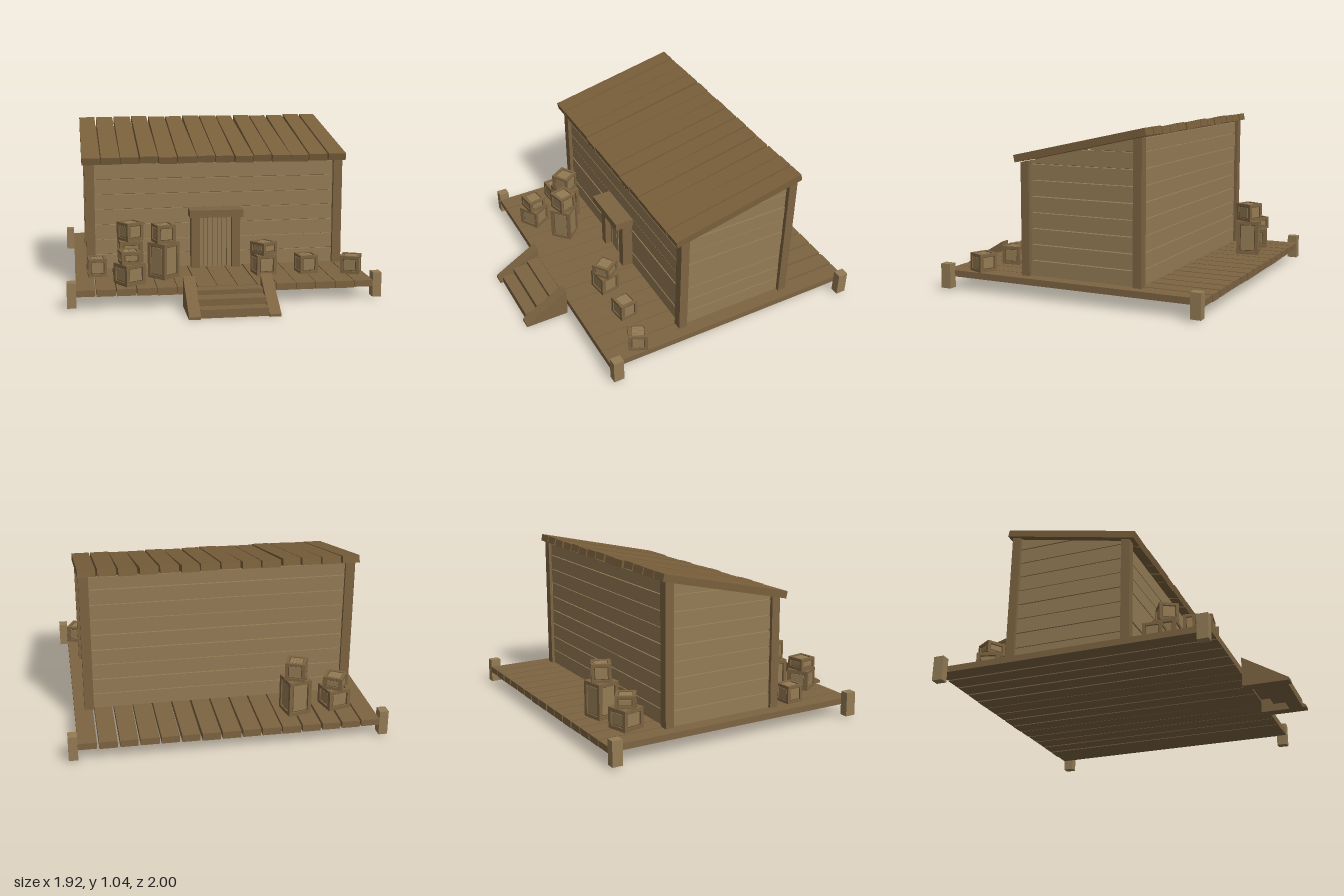
import * as THREE from 'three';

const mat = (color) => new THREE.MeshStandardMaterial({ color, flatShading: true });
const wallMat = mat(0x947c55), trimMat = mat(0x7d6442), roofMat = mat(0x7a603c), darkMat = mat(0x5c482c);

// small seeded generator, -1..1
let seed = 7;
const rnd = () => {
  seed = (seed * 16807) % 2147483647;
  return (seed / 2147483647) * 2 - 1;
};

function add(parent, name, geometry, material) {
  const mesh = new THREE.Mesh(geometry, material);
  mesh.name = name;
  parent.add(mesh);
  return mesh;
}

// box given by its extents
function box(parent, name, material, x0, x1, y0, y1, z0, z1) {
  const g = new THREE.BoxGeometry(x1 - x0, y1 - y0, z1 - z0);
  g.translate((x0 + x1) / 2, (y0 + y1) / 2, (z0 + z1) / 2);
  return add(parent, name, g, material);
}

// (z, y) outline extruded from x0 to x1
function prism(parent, name, material, pts, x0, x1) {
  const shape = new THREE.Shape(pts.map(([z, y]) => new THREE.Vector2(z, y)));
  const g = new THREE.ExtrudeGeometry(shape, { depth: x1 - x0, bevelEnabled: false });
  g.rotateY(-Math.PI / 2).translate(x1, 0, 0);
  return add(parent, name, g, material);
}

// board along z whose width differs between its front and back ends
function taperedBoard(wFront, wBack, thickness, length) {
  const g = new THREE.BoxGeometry(1, thickness, length);
  const p = g.attributes.position;
  for (let i = 0; i < p.count; i++) p.setX(i, p.getX(i) * (p.getZ(i) > 0 ? wFront : wBack));
  return g;
}

// crate: recessed panels inside a frame of bars, slats on the lid
function crate(parent, x, y, z, w, h, angle) {
  const c = new THREE.Group();
  c.name = 'crate';
  c.position.set(x, y, z);
  c.rotation.y = angle;
  parent.add(c);
  const r = w / 2, b = w * 0.15, e = w * 0.07;
  box(c, 'crateCore', darkMat, -r + e, r - e, e, h - e, -r + e, r - e);
  for (const s of [-1, 1]) {
    for (const t of [-1, 1]) {
      const cx = s * (r - b / 2), cz = t * (r - b / 2);
      box(c, 'cratePost', trimMat, cx - b / 2, cx + b / 2, 0, h, cz - b / 2, cz + b / 2);
    }
    for (const y0 of [0, h - b]) {
      const d = s * (r - b / 2);
      box(c, 'crateRail', trimMat, -r + b, r - b, y0, y0 + b, d - b / 2, d + b / 2);
      box(c, 'crateRail', trimMat, d - b / 2, d + b / 2, y0, y0 + b, -r + b, r - b);
    }
    // side panels, slightly inset from the frame
    const q = r - b * 1.3, d0 = s * (r - e * 0.8);
    box(c, 'cratePanel', wallMat, -q, q, b * 1.3, h - b * 1.3, d0 - 0.003, d0 + 0.003);
    box(c, 'cratePanel', wallMat, d0 - 0.003, d0 + 0.003, b * 1.3, h - b * 1.3, -q, q);
  }
  const q = r - b * 1.2, sw = (2 * q) / 4;
  for (let i = 0; i < 4; i++) {
    box(c, 'lidSlat', wallMat, -q + i * sw + 0.001, -q + (i + 1) * sw - 0.001, h - e * 1.2, h - e * 0.5, -q, q);
  }
}

export function createModel() {
  seed = 7;
  const root = new THREE.Group();
  root.name = 'cabin';
  const group = (name) => {
    const g = new THREE.Group();
    g.name = name;
    root.add(g);
    return g;
  };

  // deck planks and corner posts
  const deck = group('deck');
  const nDeck = 15, dw = 1.82 / nDeck;
  for (let i = 0; i < nDeck; i++) {
    const th = 0.043 + 0.004 * rnd();
    const g = taperedBoard(dw - 0.004 - 0.003 * rnd(), dw - 0.011 - 0.004 * rnd(), th, 1.715);
    add(deck, 'deckPlank', g, trimMat).position.set(-0.91 + (i + 0.5) * dw, 0.121 - th / 2, -0.1425);
  }
  for (const s of [-1, 1]) {
    for (const [z0, z1] of [[-1, -0.935], [0.65, 0.717]]) {
      const x = s * 0.9325;
      box(deck, 'deckPost', wallMat, x - 0.0275, x + 0.0275, 0.015, 0.168, z0, z1);
    }
  }

  // front steps
  const steps = group('steps');
  for (const x of [-0.27, 0.2]) {
    prism(steps, 'stringer', trimMat, [[0.715, 0], [1, 0], [1, 0.016], [0.715, 0.187]], x, x + 0.07);
  }
  [[0, 0.05, 0.895, 0.98], [0.046, 0.09, 0.795, 0.9], [0.086, 0.118, 0.715, 0.8]].forEach(([y0, y1, z0, z1]) =>
    box(steps, 'tread', trimMat, -0.2, 0.2, y0, y1, z0, z1));

  // walls of horizontal boards under the sloping roof
  const walls = group('walls');
  const zF = 0.18, zB = -0.57, slope = 0.221;
  const top = (z) => 0.815 + slope * (zF - z);
  const cross = (y) => zF - (y - 0.815) / slope;
  const pitch = 0.0975;
  for (let i = 0; i < 9; i++) {
    const y0 = 0.12 + i * pitch, y1 = y0 + pitch - 0.005;
    if (y0 < 0.79) box(walls, 'frontBoard', wallMat, -0.8, 0.8, y0, Math.min(y1, 0.815), 0.16, zF + 0.003 * rnd());
    box(walls, 'backBoard', wallMat, -0.8, 0.8, y0, Math.min(y1, 0.975), zB + 0.003 * rnd(), -0.55);
    // gable boards are clipped by the roof line
    const pts = [[zB, y0]];
    if (y0 < top(zF)) pts.push([zF, y0], [zF, Math.min(y1, top(zF))]);
    else pts.push([cross(y0), y0]);
    if (y1 > top(zF) && y1 < top(zB)) pts.push([cross(y1), y1]);
    pts.push([zB, Math.min(y1, top(zB))]);
    prism(walls, 'rightBoard', wallMat, pts, -0.81 + 0.003 * rnd(), -0.785);
    prism(walls, 'leftBoard', wallMat, pts, 0.785, 0.815 + 0.003 * rnd());
  }
  // dark lining behind the joints
  prism(walls, 'lining', darkMat, [[-0.548, 0.12], [0.158, 0.12], [0.158, 0.81], [-0.548, 0.965]], -0.782, 0.782);
  for (const s of [-1, 1]) {
    for (const [z0, z1] of [[0.15, 0.205], [-0.59, -0.535]]) {
      const x0 = s < 0 ? -0.832 : 0.785;
      prism(walls, 'cornerPost', trimMat, [[z0, 0.12], [z1, 0.12], [z1, top(z1)], [z0, top(z0)]], x0, x0 + 0.058);
    }
  }

  // roof planks
  const roof = group('roof');
  roof.position.set(0, 0.921, -0.185);
  roof.rotation.x = Math.atan(slope);
  const nRoof = 14, rw = 1.715 / nRoof;
  for (let i = 0; i < nRoof; i++) {
    const len = 0.873 + 0.006 * rnd();
    const g = taperedBoard(rw - 0.005 - 0.004 * rnd(), rw - 0.012 - 0.006 * rnd(), 0.045, len);
    const plank = add(roof, 'roofPlank', g, roofMat);
    plank.position.set(-0.8575 + (i + 0.5) * rw, 0.003 * rnd(), 0);
    plank.rotation.y = 0.006 * rnd();
  }

  // door with slats, jambs and lintel
  const door = group('door');
  box(door, 'doorBacking', darkMat, -0.11, 0.11, 0.12, 0.465, 0.17, 0.195);
  for (let i = 0; i < 7; i++) {
    const x = -0.108 + i * 0.0309;
    box(door, 'doorSlat', wallMat, x, x + 0.027, 0.122, 0.465, 0.18, 0.21 + 0.003 * rnd());
  }
  for (const x of [-0.16, 0.104]) box(door, 'doorJamb', trimMat, x, x + 0.054, 0.12, 0.465, 0.17, 0.25);
  box(door, 'lintel', trimMat, -0.175, 0.17, 0.46, 0.508, 0.17, 0.303);

  // crates: x, z, then width, height and angle for each one stacked
  const crates = group('crates');
  [
    [-0.77, 0.34, [0.115, 0.112, 0.06]],
    [-0.56, 0.345, [0.145, 0.222, 0.05], [0.12, 0.114, 0.55]],
    [-0.36, 0.445, [0.14, 0.222, 0.75], [0.12, 0.114, 0.25]],
    [-0.58, 0.58, [0.14, 0.128, 0.55], [0.12, 0.078, 0.15]],
    [0.275, 0.44, [0.13, 0.128, 0.15], [0.12, 0.078, 0.6]],
    [0.55, 0.44, [0.118, 0.115, 0.12]],
    [0.83, 0.49, [0.118, 0.112, -0.43]],
    [-0.685, -0.77, [0.145, 0.128, 0.25], [0.12, 0.078, -0.55]],
    [-0.43, -0.8, [0.145, 0.222, 0.2], [0.12, 0.114, -0.4]],
  ].forEach(([x, z, ...stack]) => {
    let y = 0.121;
    for (const [w, h, a] of stack) {
      crate(crates, x, y, z, w, h, a);
      y += h;
    }
  });

  return root;
}
